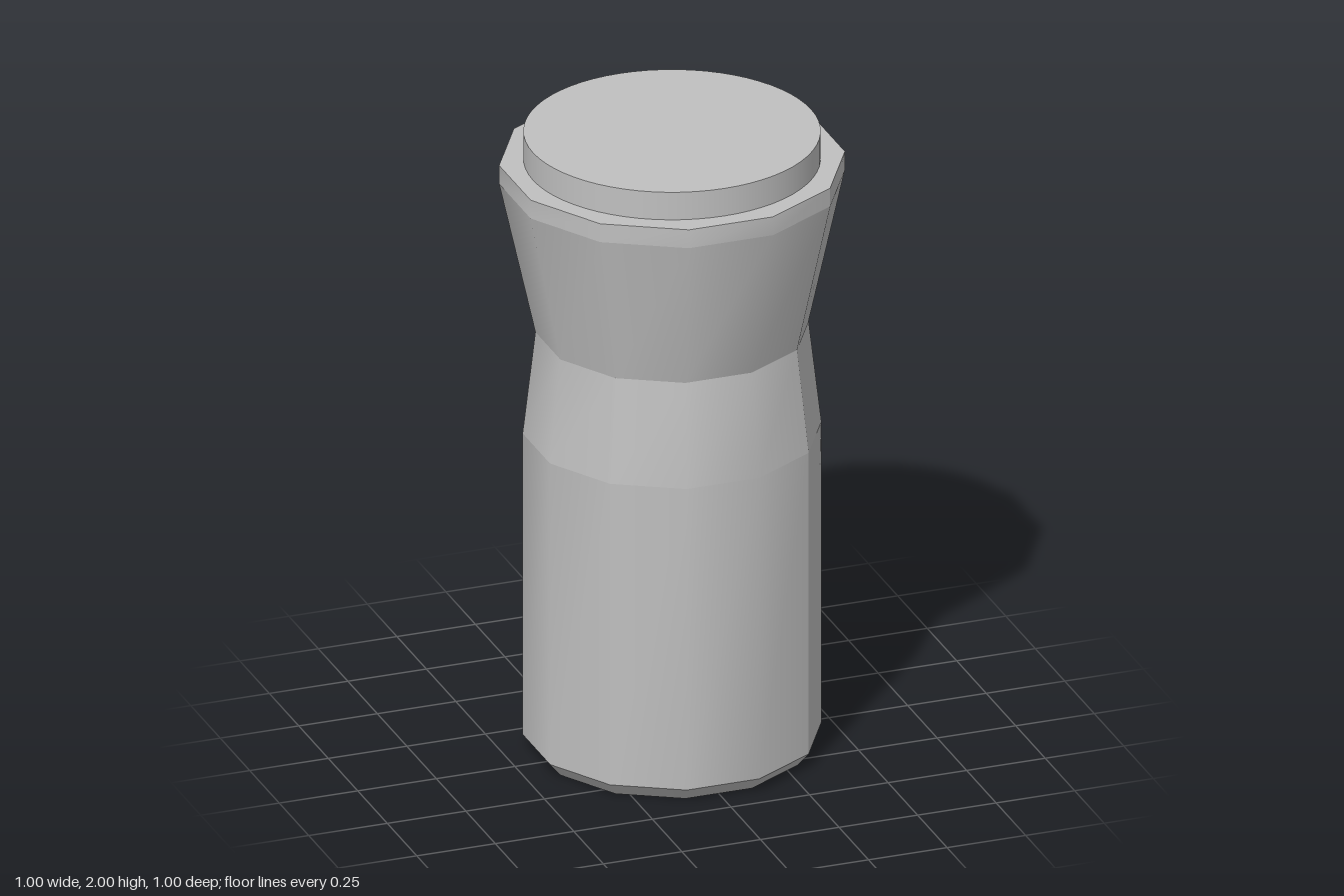
import * as THREE from 'three';
import { mergeGeometries } from 'three/addons/utils/BufferGeometryUtils.js';

const SIDES = 12;
// Circumradius of a twelve-sided ring from its half width across flats
const ringRadius = (halfWidth) => halfWidth / Math.cos(Math.PI / SIDES);

// One band of the twelve-sided body: four softly shaded quarters, creased on the diagonals
function band([y0, w0], [y1, w1]) {
  const quarters = [];
  for (let q = 0; q < 4; q++) {
    const g = new THREE.CylinderGeometry(
      ringRadius(w1), ringRadius(w0), y1 - y0, 3, 1, true,
      Math.PI / 4 + q * Math.PI / 2, Math.PI / 2);
    g.computeVertexNormals();
    quarters.push(g);
  }
  return mergeGeometries(quarters).translate(0, (y0 + y1) / 2, 0);
}

// Flat twelve-sided cover, facing up (1) or down (-1)
function cover(y, halfWidth, facing) {
  return new THREE.CircleGeometry(ringRadius(halfWidth), SIDES, Math.PI / SIDES)
    .rotateX(-facing * Math.PI / 2)
    .translate(0, y, 0);
}

export function createModel() {
  const model = new THREE.Group();
  model.name = 'handle';
  const grey = new THREE.MeshStandardMaterial({ color: 0xc0c0c0 });
  grey.name = 'light grey';

  const add = (name, geometry) => {
    const mesh = new THREE.Mesh(geometry, grey);
    mesh.name = name;
    model.add(mesh);
  };

  // Height and half width of each ring, from the base up
  const rings = [[0, 0.395], [0.045, 0.432], [1.03, 0.432], [1.36, 0.395], [1.85, 0.5], [1.91, 0.5]];
  const names = ['baseChamfer', 'grip', 'neck', 'flare', 'rim'];
  names.forEach((name, i) => add(name, band(rings[i], rings[i + 1])));

  // Closed ends of the body
  add('baseFace', cover(0, 0.395, -1));
  add('rimFace', cover(1.91, 0.5, 1));

  // Round cap on top
  add('cap', new THREE.CylinderGeometry(0.443, 0.443, 0.1, 64).translate(0, 1.95, 0));

  return model;
}
